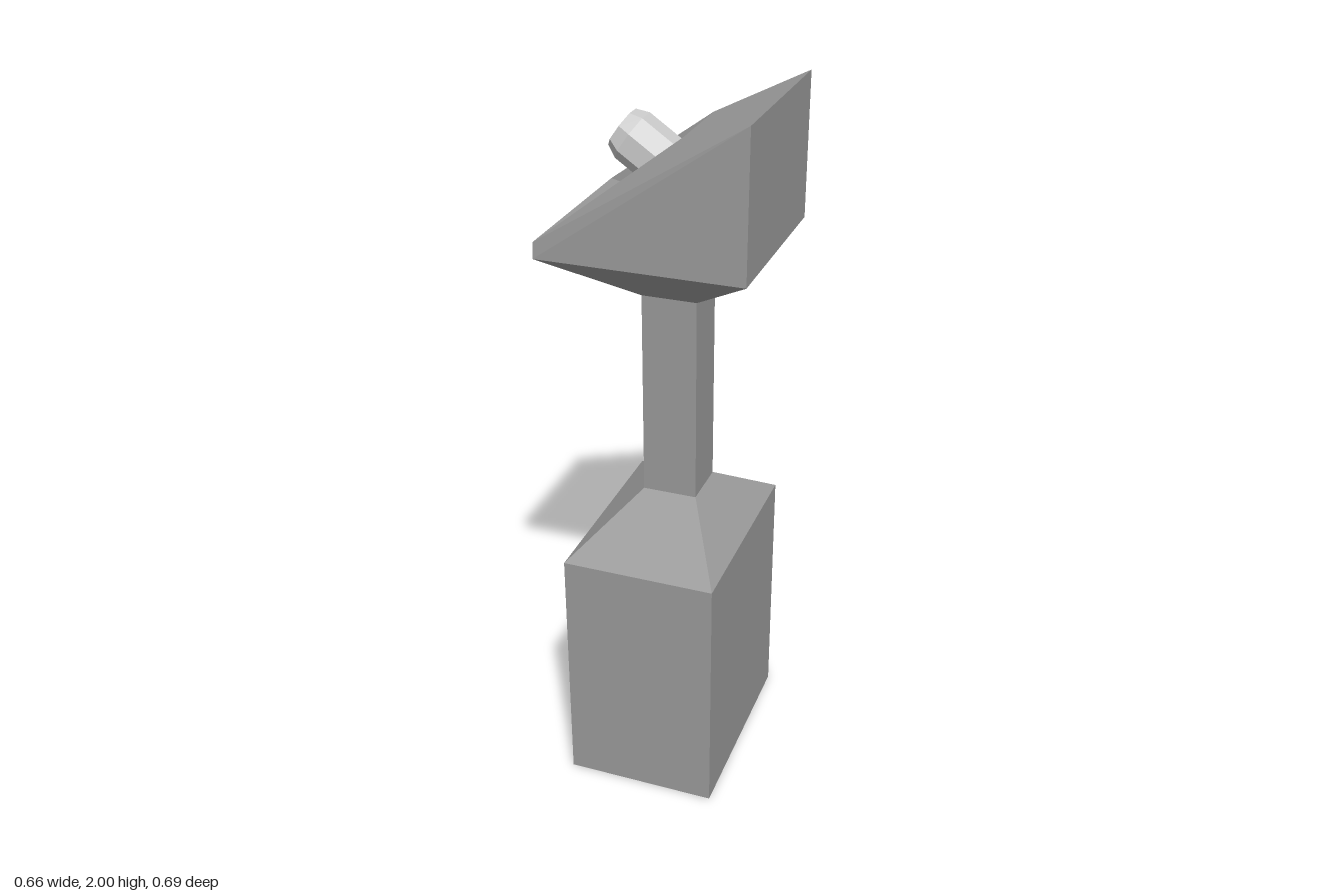
import * as THREE from 'three';

const bodyGrey = new THREE.MeshStandardMaterial({ color: 0x9a9a9a, flatShading: true, side: THREE.DoubleSide });
const knobGrey = new THREE.MeshStandardMaterial({ color: 0xcccccc, flatShading: true });

// Four corners of a level rectangle, starting front -x and running counterclockwise seen from above
function ring(halfX, halfZ, y, cx = 0, cz = 0) {
  return [[-1, 1], [1, 1], [1, -1], [-1, -1]].map(([sx, sz]) => [cx + sx * halfX, y, cz + sz * halfZ]);
}

// Four side quads joining a lower ring to an upper one
function sides(lower, upper) {
  return lower.map((p, i) => [p, lower[(i + 1) % 4], upper[(i + 1) % 4], upper[i]]);
}

// Flat-shaded mesh from a list of triangles and quads
function panels(name, faces) {
  const pos = [];
  for (const f of faces) {
    for (let i = 1; i < f.length - 1; i++) pos.push(...f[0], ...f[i], ...f[i + 1]);
  }
  const geo = new THREE.BufferGeometry();
  geo.setAttribute('position', new THREE.Float32BufferAttribute(pos, 3));
  geo.computeVertexNormals();
  const mesh = new THREE.Mesh(geo, bodyGrey);
  mesh.name = name;
  return mesh;
}

export function createModel() {
  const model = new THREE.Group();
  model.name = 'pedestalConsole';

  // Cabinet: thin shell, open at the back below a lintel
  const [foot, lintel, shoulder] = [0, 0.522, 0.728].map((y) => ring(0.215, 0.3, y, 0.002, -0.006));
  const walls = sides(foot, shoulder);
  walls[2] = sides(lintel, shoulder)[2];
  model.add(panels('cabinet', [...walls, [...foot].reverse()]));
  model.add(panels('cabinetCeiling', [ring(0.215, 0.3, 0.724, 0.002, -0.006).reverse()]));

  // Sloped roof and square neck
  const neckLow = ring(0.077, 0.075, 0.854, 0.004, -0.037);
  const neckHigh = ring(0.077, 0.075, 1.445, 0.004, -0.037);
  model.add(panels('cabinetRoof', sides(shoulder, neckLow)));
  model.add(panels('neck', sides(neckLow, neckHigh)));

  // Wedge head flaring out of the neck, high on the +x side
  const cz = -0.012;
  const headLow = ring(0.28, 0.26, 1.6, 0, cz + 0.005);
  const rim = ring(0.28, 0.26, 0, 0, cz).map(([x, , z]) => [x, x > 0 ? 1.994 : 1.643, z]);
  model.add(panels('headUnderside', sides(neckHigh, headLow)));
  model.add(panels('headSides', sides(headLow, rim)));

  // Top of the head: border faces around a steep inner panel
  const inner = ring(1, 0.112, 0, 0, cz).map(([x, , z]) => (x > 0 ? [0.068, 1.905, z] : [-0.097, 1.667, z]));
  model.add(panels('headTop', [
    [rim[0], rim[1], inner[1]], [rim[0], inner[1], inner[0]],
    [rim[1], rim[2], inner[2], inner[1]],
    [rim[3], inner[2], rim[2]], [rim[3], inner[3], inner[2]],
    [rim[3], rim[0], inner[0], inner[3]],
  ]));
  model.add(panels('innerPanel', [inner]));

  // Eight-sided knob with a chamfered tip, standing square on the inner panel
  const profile = [[0, -0.02], [0.072, -0.02], [0.072, 0.119], [0.057, 0.153], [0, 0.153]];
  const knobGeo = new THREE.LatheGeometry(profile.map(([r, y]) => new THREE.Vector2(r, y)), 8, Math.PI / 8);
  const knob = new THREE.Mesh(knobGeo, knobGrey);
  knob.name = 'knob';
  knob.position.set(-0.013, 1.79, cz);
  knob.rotation.z = Math.atan2(0.24, 0.165);
  model.add(knob);

  // Slight turn and lean of the whole piece
  model.rotation.set(0.0145, -0.22, 0);
  model.position.y = 0.005;
  const root = new THREE.Group();
  root.add(model);
  return root;
}
